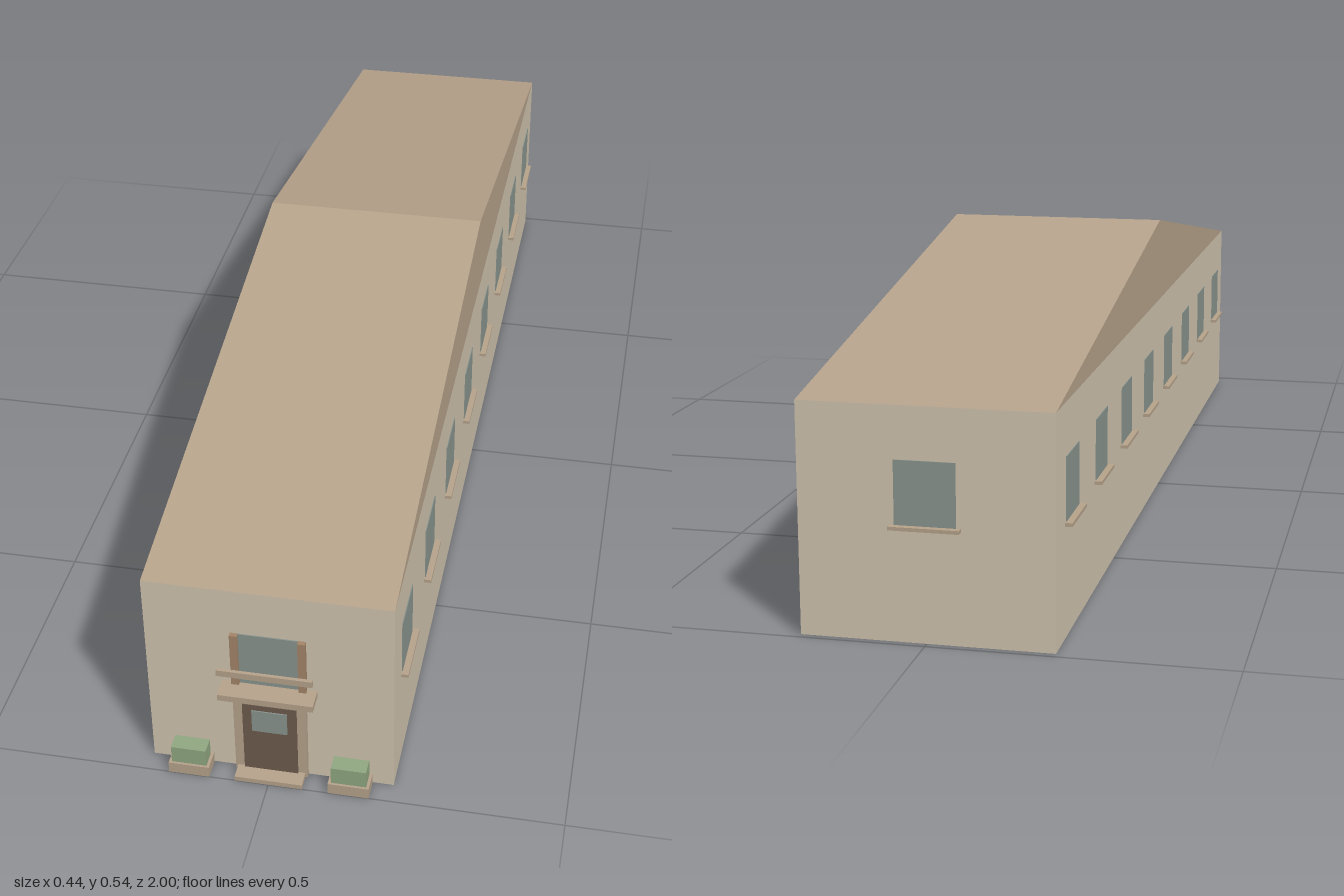
import * as THREE from 'three';

const mat = (color) => new THREE.MeshStandardMaterial({ color });

export function createModel() {
  const group = new THREE.Group();
  const wall = mat(0xd2c6b1), roof = mat(0xb8a48c), trim = mat(0xb8a48c);
  const glass = mat(0x8b968f), shutter = mat(0xa5866a), wood = mat(0x6e5c4e), leaf = mat(0x92a982);

  const W = 0.208, FRONT = 0.9625, BACK = -0.9875, EAVE = 0.384, RIDGE = 0.544;
  const LEN = FRONT - BACK, MID = (FRONT + BACK) / 2;

  // Box given by its extents on each axis
  const box = (name, m, [x0, x1], [y0, y1], [z0, z1], parent = group) => {
    const mesh = new THREE.Mesh(new THREE.BoxGeometry(x1 - x0, y1 - y0, z1 - z0), m);
    mesh.position.set((x0 + x1) / 2, (y0 + y1) / 2, (z0 + z1) / 2);
    mesh.name = name;
    parent.add(mesh);
    return mesh;
  };

  // Main block
  box('walls', wall, [-W, W], [0, EAVE], [BACK, FRONT]);

  // Gabled roof, ridge running across the width
  const gable = new THREE.Shape([
    new THREE.Vector2(-LEN / 2, EAVE),
    new THREE.Vector2(LEN / 2, EAVE),
    new THREE.Vector2(0, RIDGE),
  ]);
  const roofGeo = new THREE.ExtrudeGeometry(gable, { depth: 2 * W, bevelEnabled: false });
  roofGeo.translate(0, 0, -W).rotateY(Math.PI / 2);
  const roofMesh = new THREE.Mesh(roofGeo, roof);
  roofMesh.position.z = MID;
  roofMesh.name = 'roof';
  group.add(roofMesh);

  // Window with sill, built facing +z at the wall plane
  const addWindow = (name, x, z, angle) => {
    const win = new THREE.Group();
    win.name = name;
    box('pane', glass, [-0.05, 0.05], [0.19, 0.297], [-0.004, 0.0015], win);
    box('sill', trim, [-0.0575, 0.0575], [0.186, 0.192], [-0.002, 0.0125], win);
    win.position.set(x, 0, z);
    win.rotation.y = angle;
    group.add(win);
  };
  for (let i = 0; i < 8; i++) {
    const z = FRONT - (i + 0.5) * LEN / 8;
    addWindow('leftWindow', W, z, Math.PI / 2);
    addWindow('rightWindow', -W, z, -Math.PI / 2);
  }
  addWindow('backWindow', 0, BACK, Math.PI);

  // Doorway
  box('doorSurround', trim, [-0.062, 0.062], [0, 0.174], [FRONT - 0.002, 0.971]);
  box('door', wood, [-0.046, 0.046], [0.009, 0.153], [FRONT, 0.974]);
  box('doorGlass', glass, [-0.03, 0.03], [0.097, 0.142], [FRONT, 0.976]);
  box('doorStep', trim, [-0.058, 0.058], [0, 0.009], [FRONT - 0.002, 1]);

  // Balcony with the window above the door
  box('balconyBracket', trim, [-0.075, 0.075], [0.174, 0.18], [FRONT - 0.002, 0.994]);
  box('balconySlab', trim, [-0.08, 0.08], [0.18, 0.192], [FRONT - 0.002, 1]);
  box('balconyRail', trim, [-0.08, 0.08], [0.234, 0.246], [0.994, 1]);
  box('balconyWindow', glass, [-0.05, 0.05], [0.19, 0.297], [FRONT - 0.002, 0.9645]);

  // Shutters and planters on both sides
  for (const s of [-1, 1]) {
    const span = (a, b) => (s > 0 ? [a, b] : [-b, -a]);
    box('shutter', shutter, span(0.05, 0.063), [0.192, 0.297], [FRONT - 0.002, 0.971]);
    box('planter', trim, span(0.102, 0.172), [0, 0.021], [FRONT - 0.002, 1]);
    box('shrub', leaf, span(0.107, 0.167), [0.021, 0.054], [0.967, 0.996]);
  }

  return group;
}
